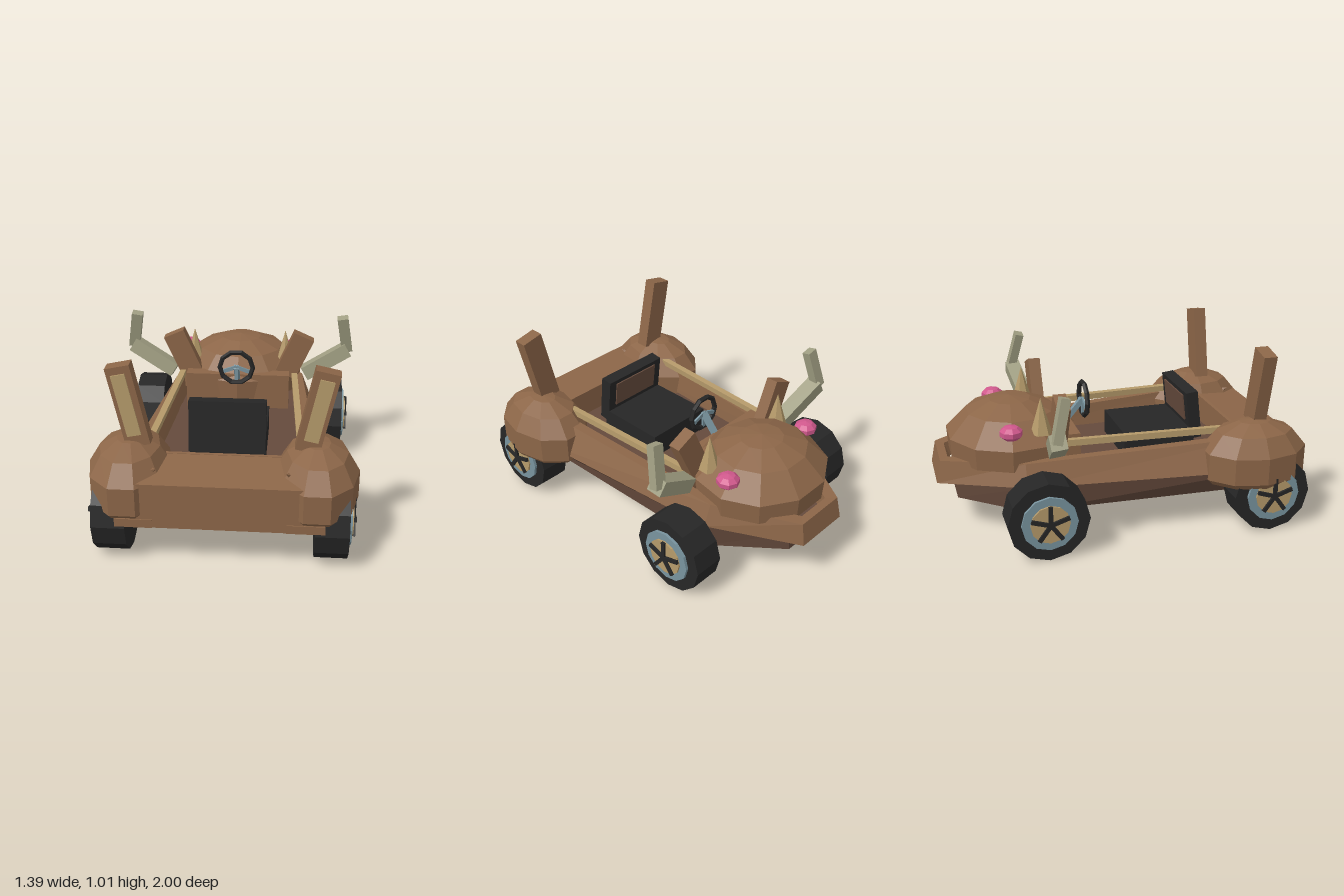
import * as THREE from 'three';

const mat = (name, color) => {
  const m = new THREE.MeshStandardMaterial({ color, flatShading: true });
  m.name = name;
  return m;
};

export function createModel() {
  const brown = mat('brown', 0x8c6648), dark = mat('dark brown', 0x654a3c);
  const cream = mat('cream', 0xb59a6a), black = mat('black', 0x262626);
  const steel = mat('blue grey', 0x78939e), pink = mat('pink', 0xd0588c);
  const bone = mat('bone', 0xa09e82);
  const kart = new THREE.Group();
  kart.name = 'kart';

  const add = (name, geo, m, pos = [0, 0, 0], rot = [0, 0, 0], parent = kart) => {
    const mesh = new THREE.Mesh(geo, m);
    mesh.name = name;
    mesh.position.set(...pos);
    mesh.rotation.set(...rot);
    parent.add(mesh);
    return mesh;
  };
  const box = (w, h, d) => new THREE.BoxGeometry(w, h, d);

  // ring: the +x half of an outline, mirrored to a closed loop
  const ring = (half) => [...half, ...half.slice().reverse().map(([x, y, z]) => [-x, y, z])];

  // loft: skin consecutive rings, with optional end caps
  const loft = (halves, capStart, capEnd) => {
    const rings = halves.map(ring), n = rings[0].length, index = [];
    for (let r = 0; r < rings.length - 1; r++) {
      for (let i = 0; i < n; i++) {
        const a = r * n + i, b = r * n + (i + 1) % n;
        index.push(a, b, b + n, a, b + n, a + n);
      }
    }
    const last = (rings.length - 1) * n;
    for (let i = 1; i < n - 1; i++) {
      if (capStart) index.push(0, i + 1, i);
      if (capEnd) index.push(last, last + i, last + i + 1);
    }
    const g = new THREE.BufferGeometry();
    g.setAttribute('position', new THREE.Float32BufferAttribute(rings.flat(2), 3));
    g.setIndex(index);
    g.computeVertexNormals();
    return g;
  };

  // faceted dome: profile of [radius factor, y], stretched to an oval plan
  const dome = (profile, sides, rx, rz, turn) => {
    const pts = profile.map(([r, y]) => new THREE.Vector2(r, y));
    return new THREE.LatheGeometry(pts, sides).rotateY(turn).scale(rx, 1, rz);
  };

  // bar: square bar between two points
  const bar = (name, a, b, w, d, m, parent = kart) => {
    const p = new THREE.Vector3(...a), q = new THREE.Vector3(...b);
    const dir = q.clone().sub(p);
    const mesh = add(name, box(w, dir.length(), d), m, p.clone().add(q).multiplyScalar(0.5).toArray(), [0, 0, 0], parent);
    mesh.quaternion.setFromUnitVectors(new THREE.Vector3(0, 1, 0), dir.normalize());
    return mesh;
  };

  // Tub: lower hull, side walls and floor
  const waist = [[0.56, 0.33, 0.7], [0.435, 0.33, -0.55], [0.16, 0.295, -1]];
  add('lowerHull', loft([
    [[0.45, 0.18, 0.88], [0.41, 0.18, -0.55], [0.13, 0.18, -0.89]],
    [[0.56, 0.33, 0.7], [0.435, 0.33, -0.55], [0.14, 0.295, -0.89]],
  ], true, true), dark);
  add('bodyWalls', loft([
    waist,
    [[0.48, 0.5, 0.7], [0.39, 0.45, -0.55], [0.15, 0.42, -0.975]],
    [[0.42, 0.5, 0.68], [0.34, 0.45, -0.53], [0.1, 0.42, -0.93]],
    [[0.4, 0.34, 0.68], [0.33, 0.34, -0.53], [0.1, 0.34, -0.9]],
  ], true, false), brown);
  add('floor', box(0.7, 0.02, 0.95), dark, [0, 0.335, 0.21]);
  add('dashboard', box(0.62, 0.24, 0.08), brown, [0, 0.44, -0.27]);

  // Front deck
  add('frontDeck', loft([
    [[0.46, 0.23, 0.98], [0.46, 0.23, 0.68]],
    [[0.46, 0.47, 0.98], [0.42, 0.5, 0.68]],
  ], true, true), brown);

  // Head at the back
  const head = dome([[0, 0.36], [0.7, 0.37], [0.98, 0.4], [1, 0.52], [0.68, 0.64], [0.32, 0.695], [0, 0.71]], 11, 0.385, 0.365, 0);
  add('head', head, brown, [0, 0, -0.56]);

  // Seat
  const seat = new THREE.Group();
  seat.name = 'seat';
  kart.add(seat);
  add('seatBase', box(0.41, 0.15, 0.42), black, [0, 0.41, 0.26], [0, 0, 0], seat);
  add('seatBack', box(0.41, 0.28, 0.07), black, [0, 0.555, 0.465], [-0.12, 0, 0], seat);
  add('seatPad', box(0.31, 0.15, 0.008), dark, [0, 0.59, 0.422], [-0.12, 0, 0], seat);

  // Steering wheel
  const steering = new THREE.Group();
  steering.name = 'steering';
  kart.add(steering);
  add('steeringRim', new THREE.TorusGeometry(0.097, 0.015, 5, 10), black, [0, 0.645, -0.135], [0, 0, 0], steering);
  for (const a of [-0.35, Math.PI + 0.35, -Math.PI / 2]) {
    bar('steeringSpoke', [0, 0.645, -0.14], [0.09 * Math.cos(a), 0.645 + 0.09 * Math.sin(a), -0.14], 0.022, 0.012, steel, steering);
  }
  bar('steeringColumn', [0, 0.645, -0.14], [0, 0.52, -0.25], 0.03, 0.03, steel, steering);

  // Wheel parts share geometry; the axle runs along x
  const disc = (r, w, n = 12) => new THREE.CylinderGeometry(r, r, w, n).rotateZ(Math.PI / 2);
  const tyreGeo = disc(0.218, 0.17), rimGeo = disc(0.15, 0.02), hubGeo = disc(0.105, 0.02);

  for (const s of [1, -1]) {
    const side = s > 0 ? 'left' : 'right';
    const half = new THREE.Group();
    half.name = side + 'Side';
    kart.add(half);
    const put = (name, geo, m, [x, y, z], rot = [0, 0, 0]) =>
      add(name, geo, m, [s * x, y, z], [rot[0], s * rot[1], s * rot[2]], half);
    const beam = (name, [ax, ay, az], [bx, by, bz], w, d, m) =>
      bar(name, [s * ax, ay, az], [s * bx, by, bz], w, d, m, half);

    // Wheels
    for (const z of [0.77, -0.48]) {
      put('tyre', tyreGeo, black, [0.555, 0.22, z]);
      put('rim', rimGeo, steel, [0.645, 0.22, z]);
      put('hub', hubGeo, cream, [0.655, 0.22, z]);
      for (let i = 0; i < 5; i++) {
        const a = Math.PI / 2 + i * Math.PI * 0.4;
        beam('wheelSpoke', [0.67, 0.22, z], [0.67, 0.22 + 0.105 * Math.sin(a), z + 0.105 * Math.cos(a)], 0.015, 0.022, black);
      }
    }

    // Front fender with its under-bowl, lip and small spike
    put('fender', dome([[0, 0.29], [0.9, 0.27], [1, 0.3], [1, 0.45], [0.72, 0.55], [0.3, 0.6], [0, 0.61]], 10, 0.215, 0.3, Math.PI / 10), brown, [0.475, 0, 0.715]);
    put('fenderUnderside', dome([[0, 0.12], [0.45, 0.13], [0.85, 0.2], [1, 0.29]], 8, 0.11, 0.2, Math.PI / 8), brown, [0.4, 0, 0.7]);
    put('fenderLip', box(0.19, 0.045, 0.1), brown, [0.425, 0.253, 0.935]);
    put('fenderSpike', new THREE.ConeGeometry(0.035, 0.08, 4), brown, [0.34, 0.49, 0.87], [0.9, 0, 0.5]);

    // Long ear on the fender
    const ear = [0.465, 0.785, 0.74];
    put('longEar', box(0.125, 0.43, 0.075), brown, ear, [0, 0, -0.21]);
    put('longEarInner', box(0.072, 0.33, 0.009), cream, [0.472, 0.795, 0.781], [0, 0, -0.21]);

    // Cockpit rail
    beam('rail', [0.385, 0.53, 0.56], [0.34, 0.53, -0.36], 0.035, 0.035, cream);

    // Small ear, horn, eye and antler on the head
    put('smallEar', box(0.13, 0.27, 0.07), brown, [0.34, 0.655, -0.35], [0, 0, -0.42]);
    put('horn', new THREE.ConeGeometry(0.06, 0.2, 6), cream, [0.28, 0.675, -0.44]);
    put('eye', new THREE.SphereGeometry(0.065, 8, 5).scale(1, 0.65, 1), pink, [0.325, 0.61, -0.61]);
    beam('antlerLower', [0.4, 0.52, -0.39], [0.66, 0.67, -0.43], 0.085, 0.085, bone);
    beam('antlerUpper', [0.66, 0.66, -0.44], [0.622, 0.885, -0.385], 0.065, 0.05, bone);
  }

  return kart;
}
